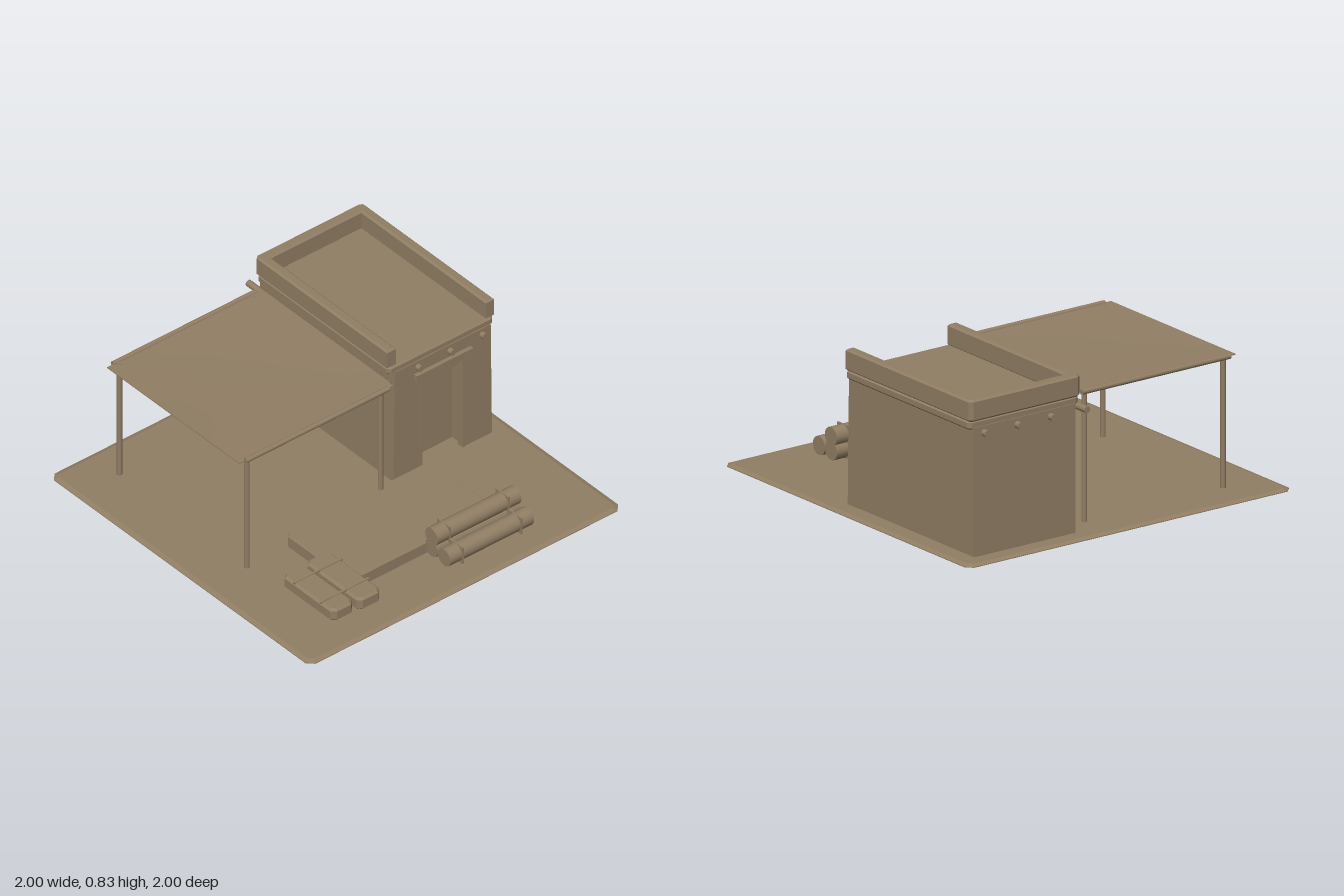
import * as THREE from 'three';

export function createModel() {
  const model = new THREE.Group();
  const clay = new THREE.MeshStandardMaterial({ color: 0x917e64 });

  function add(name, geometry, x = 0, y = 0, z = 0, parent = model) {
    const mesh = new THREE.Mesh(geometry, clay);
    mesh.name = name;
    mesh.position.set(x, y, z);
    parent.add(mesh);
    return mesh;
  }
  function group(name) {
    const g = new THREE.Group();
    g.name = name;
    model.add(g);
    return g;
  }
  // box given by its limits
  const box = (name, x0, x1, y0, y1, z0, z1, parent) =>
    add(name, new THREE.BoxGeometry(x1 - x0, y1 - y0, z1 - z0), (x0 + x1) / 2, (y0 + y1) / 2, (z0 + z1) / 2, parent);

  // bevelled slab from an [x, z] outline
  function slab(name, outline, y0, y1, bevel, parent) {
    const shape = new THREE.Shape(outline.map(([x, z]) => new THREE.Vector2(x, -z)).reverse());
    const rise = Math.min(bevel, (y1 - y0) * 0.4);
    const geometry = new THREE.ExtrudeGeometry(shape, {
      depth: y1 - y0 - 2 * rise, bevelEnabled: bevel > 0, bevelSize: bevel,
      bevelThickness: rise, bevelOffset: -bevel, bevelSegments: 1,
    });
    geometry.rotateX(-Math.PI / 2).translate(0, y0 + rise, 0);
    return add(name, geometry, 0, 0, 0, parent);
  }
  // rectangle with cut corners
  const cutRect = (x0, x1, z0, z1, c) => [
    [x0 + c, z0], [x1 - c, z0], [x1, z0 + c], [x1, z1 - c],
    [x1 - c, z1], [x0 + c, z1], [x0, z1 - c], [x0, z0 + c]];

  // round bar along an axis
  function bar(name, axis, length, radius, x, y, z, parent, sides = 12) {
    const geometry = new THREE.CylinderGeometry(radius, radius, length, sides);
    if (axis === 'x') geometry.rotateZ(Math.PI / 2);
    if (axis === 'z') geometry.rotateX(Math.PI / 2);
    return add(name, geometry, x, y, z, parent);
  }

  // ground and raised terrace
  slab('ground', cutRect(-1, 1, -1, 1, 0.035), 0, 0.02, 0.025);
  slab('terrace', cutRect(-0.47, 0.46, 0.172, 0.67, 0.025), 0.015, 0.085, 0.004);

  // house: solid body, front wall with a doorway
  const house = group('house');
  box('houseBody', 0.265, 0.89, 0.015, 0.69, -0.9, 0.03, house);
  const wall = new THREE.Shape([[0.262, 0.015], [0.43, 0.015], [0.43, 0.575], [0.718, 0.575],
    [0.718, 0.015], [0.893, 0.015], [0.885, 0.69], [0.272, 0.69]].map(p => new THREE.Vector2(...p)));
  add('frontWall', new THREE.ExtrudeGeometry(wall, { depth: 0.095, bevelEnabled: false }), 0, 0, 0.03, house);
  box('doorHeader', 0.43, 0.718, 0.52, 0.58, 0.03, 0.1, house);
  for (const x of [0.437, 0.711]) box('doorJamb', x - 0.008, x + 0.008, 0.015, 0.575, 0.09, 0.13, house);
  box('doorLintel', 0.395, 0.755, 0.577, 0.62, 0.08, 0.148, house);

  // roof edge and parapet open at the front
  slab('roofLedge', cutRect(0.235, 0.915, -0.895, 0.12, 0.02), 0.678, 0.725, 0.01, house);
  slab('parapet', [[0.23, 0.115], [0.23, -0.885], [0.25, -0.9], [0.895, -0.9], [0.915, -0.885],
    [0.915, 0.115], [0.862, 0.115], [0.862, -0.84], [0.287, -0.84], [0.287, 0.115]].reverse(),
  0.72, 0.833, 0.01, house);

  // roof beams running through the house, and one beside it
  for (const x of [0.215, 0.42, 0.625, 0.83]) bar('roofBeam', 'z', 1.08, 0.018, x, 0.655, -0.39, house);

  // canopy with a sagging cloth
  const canopy = group('canopy');
  const cloth = new THREE.BoxGeometry(0.985, 0.005, 1.015, 10, 1, 10);
  const p = cloth.attributes.position;
  for (let i = 0; i < p.count; i++) {
    const u = p.getX(i) / 0.4925, v = p.getZ(i) / 0.5075;
    p.setY(i, p.getY(i) - 0.009 * (1 - u * u) * (1 - v * v));
  }
  cloth.computeVertexNormals();
  add('canopyCloth', cloth, -0.304, 0.701, -0.293, canopy);
  for (const z of [-0.805, 0.215]) {
    bar('canopyRail', 'x', 0.915, 0.014, -0.3, 0.701, z, canopy);
    for (const x of [-0.73, 0.125])
      bar('canopyPost', 'y', 0.69, 0.014, x, 0.36, z < 0 ? -0.785 : 0.192, canopy);
  }

  // stacked rolls with square ties
  const rolls = group('rolls');
  for (const [y, z] of [[0.07, 0.806], [0.07, 0.707], [0.143, 0.709]]) {
    bar('roll', 'x', 0.535, 0.049, 0.287, y, z, rolls, 16);
    for (const x of [0.1, 0.475]) add('rollTie', new THREE.BoxGeometry(0.01, 0.098, 0.098), x, y, z, rolls);
  }

  // two bundles with straps across
  const bundles = group('bundles');
  slab('outerBundle', cutRect(-0.7, -0.56, 0.42, 0.818, 0.025), 0.02, 0.093, 0.012, bundles);
  slab('innerBundle', cutRect(-0.543, -0.395, 0.41, 0.83, 0.025), 0.02, 0.093, 0.012, bundles);
  for (const z of [0.515, 0.72]) box('strap', -0.7, -0.39, 0.086, 0.097, z - 0.006, z + 0.006, bundles);

  return model;
}
